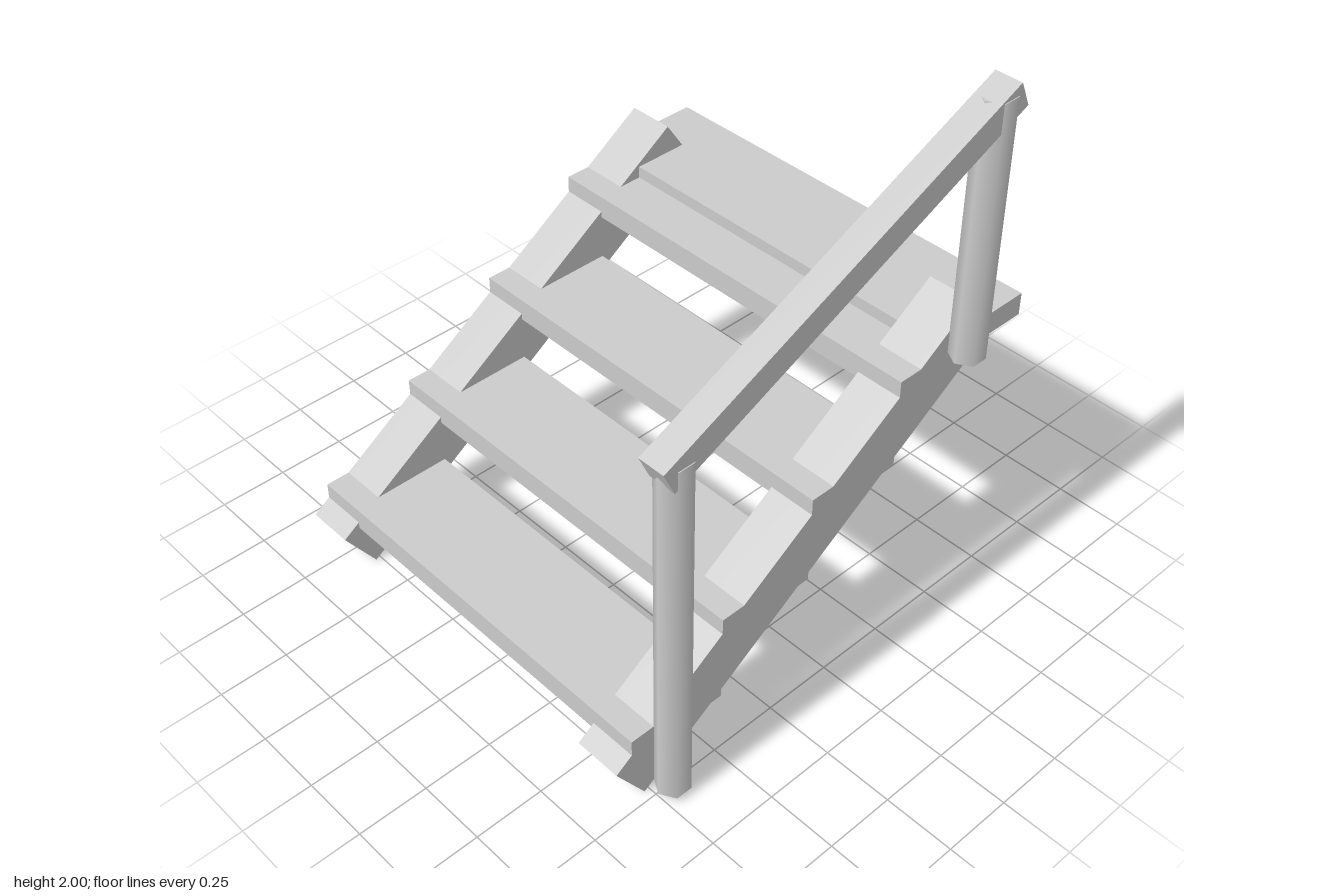
import * as THREE from 'three';

const material = new THREE.MeshStandardMaterial({ color: 0xcccccc });

function add(group, name, geometry, x, y, z, tilt = 0) {
  const mesh = new THREE.Mesh(geometry, material);
  mesh.name = name;
  mesh.position.set(x, y, z);
  mesh.rotation.x = tilt;
  group.add(mesh);
}

// Box whose length runs along z, climbing towards the back by the given angle
function addBeam(group, name, width, thickness, length, x, y, z, angle) {
  add(group, name, new THREE.BoxGeometry(width, thickness, length), x, y, z, angle);
}

export function createModel() {
  const stairs = new THREE.Group();
  stairs.name = 'stairs';

  // Sloping side beams
  const slope = Math.atan2(1.0, 1.5);
  addBeam(stairs, 'leftStringer', 0.172, 0.203, 1.803, 0.633, 0.585, 0.075, slope);
  addBeam(stairs, 'rightStringer', 0.172, 0.203, 1.803, -0.739, 0.585, 0.075, slope);

  // Four treads, evenly rising towards the back
  const treadWidth = 1.544;
  const treadX = -0.053;
  for (let i = 0; i < 4; i++) {
    add(stairs, `tread${i + 1}`, new THREE.BoxGeometry(treadWidth, 0.084, 0.374),
      treadX, 0.228 + i * 0.25, 0.632 - i * 0.374);
  }

  // Top landing board
  add(stairs, 'landing', new THREE.BoxGeometry(treadWidth, 0.084, 0.394), treadX, 1.022, -0.679);

  // Six-sided posts on the left side
  const railX = 0.769;
  for (const [name, bottom, top, z] of [
    ['frontPost', 0.025, 1.36, 0.698],
    ['backPost', 1.02, 1.96, -0.55],
  ]) {
    add(stairs, name, new THREE.CylinderGeometry(0.06, 0.06, top - bottom, 6),
      railX, (bottom + top) / 2, z);
  }

  // Sloping handrail
  addBeam(stairs, 'handrail', 0.098, 0.098, 1.505, railX, 1.645, 0.075, Math.atan2(0.62, 1.37));

  return stairs;
}
